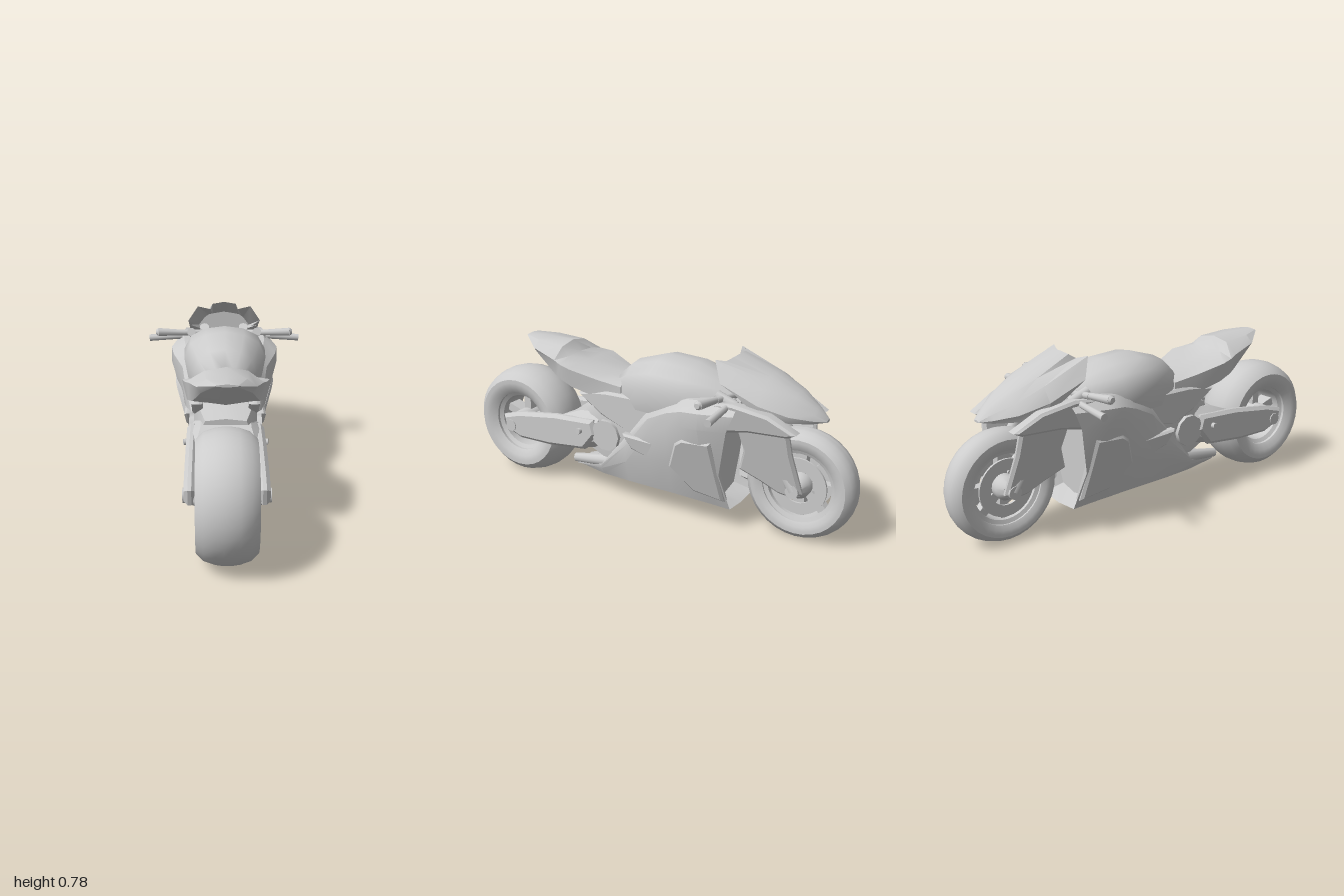
import * as THREE from 'three';
import { toCreasedNormals } from 'three/addons/utils/BufferGeometryUtils.js';

const grey = new THREE.MeshStandardMaterial({ color: 0xcccccc });
grey.name = 'light grey';

export function createModel() {
  const model = new THREE.Group();
  model.name = 'motorcycle';

  function add(name, geometry, parent = model) {
    const mesh = new THREE.Mesh(geometry, grey);
    mesh.name = name;
    parent.add(mesh);
    return mesh;
  }

  // Skin over mirrored cross-sections, ordered from +z to -z.
  // A section is [z, [[x, y, ownZ?], ...]], listed from top centre to bottom centre.
  function loft(name, sections, crease = 0.6) {
    const pos = [], idx = [];
    const rings = sections.map(([z, pts]) => {
      const half = pts.map(([x, y, own = z]) => [x, y, own]);
      const other = half.slice(1, -1).reverse().map(([x, y, w]) => [-x, y, w]);
      return [...half, ...other];
    });
    const n = rings[0].length;
    rings.forEach(r => r.forEach(p => pos.push(...p)));
    for (let i = 0; i < rings.length - 1; i++) {
      for (let j = 0; j < n; j++) {
        const a = i * n + j, b = i * n + (j + 1) % n;
        idx.push(a, b, a + n, b, b + n, a + n);
      }
    }
    const last = (rings.length - 1) * n;
    for (let j = 1; j < n - 1; j++) {
      idx.push(0, j + 1, j, last, last + j, last + j + 1);
    }
    const g = new THREE.BufferGeometry();
    g.setAttribute('position', new THREE.Float32BufferAttribute(pos, 3));
    g.setIndex(idx);
    return add(name, toCreasedNormals(g, crease));
  }

  // Mirrored pair of side plates from a [z, y] outline; lean pushes the top outwards.
  function sidePlates(name, outline, inner, outer, lean = 0, bevel = 0.012) {
    for (const s of [1, -1]) {
      const shape = new THREE.Shape(outline.map(p => new THREE.Vector2(...p)));
      const depth = outer - inner - 2 * bevel;
      const g = new THREE.ExtrudeGeometry(shape, {
        depth, bevelEnabled: true, bevelThickness: bevel, bevelSize: bevel, bevelOffset: -bevel, bevelSegments: 1
      });
      g.rotateY(-Math.PI / 2);
      g.translate(s * (inner + outer) / 2 + depth / 2, 0, 0);
      const p = g.attributes.position;
      for (let i = 0; i < p.count; i++) p.setX(i, p.getX(i) + s * lean * (p.getY(i) - 0.25));
      add(name, toCreasedNormals(g, 0.6));
    }
  }

  // Rod between two points
  function rod(name, from, to, r1, r2 = r1) {
    const a = new THREE.Vector3(...from), b = new THREE.Vector3(...to);
    const mesh = add(name, new THREE.CylinderGeometry(r2, r1, a.distanceTo(b), 10));
    mesh.position.copy(a).add(b).multiplyScalar(0.5);
    mesh.quaternion.setFromUnitVectors(new THREE.Vector3(0, 1, 0), b.sub(a).normalize());
  }
  const rodPair = (name, [x, y, z], [u, v, w], r1, r2) => {
    for (const s of [1, -1]) rod(name, [s * x, y, z], [s * u, v, w], r1, r2);
  };

  // Lathe turned so its axis runs along x; profile is [radius, x]
  function turned(name, profile, parent) {
    const g = new THREE.LatheGeometry(profile.map(p => new THREE.Vector2(...p)), 32);
    g.rotateZ(-Math.PI / 2);
    return add(name, toCreasedNormals(g, 0.6), parent);
  }

  // Wheels: rounded tyre, rim band, hub, spokes and brake discs
  function wheel(name, z, R, w, hole, hub, spokes, discs) {
    const group = new THREE.Group();
    group.name = name;
    group.position.set(0, R, z);
    model.add(group);
    const d = R - hole;
    const half = [[hole, w * 0.8], [hole + d * 0.25, w * 0.97], [hole + d * 0.45, w], [R - d * 0.4, w], [R - d * 0.16, w * 0.76], [R - d * 0.04, w * 0.4], [R, w * 0.12]];
    const outer = [...half.map(([r, x]) => [r, -x]), ...half.slice().reverse()];
    turned('tyre', [...outer, [hole, -w * 0.8]], group);
    const q = hole - 0.018;
    turned('rim', [[q, -w * 0.6], [hole + 0.01, -w * 0.75], [hole + 0.01, w * 0.75], [q, w * 0.6], [q, -w * 0.6]], group);
    turned('hub', [[0, -hub], [0.035, -hub], [0.055, -hub * 0.6], [0.055, hub * 0.6], [0.035, hub], [0, hub]], group);
    for (let i = 0; i < spokes; i++) {
      const g = new THREE.BoxGeometry(w * 0.6, hole, 0.04);
      g.translate(0, hole / 2, 0);
      add('spoke', g, group).rotation.x = i * Math.PI * 2 / spokes;
    }
    for (const s of discs) {
      const x = s * w * 0.68, r = hole * 0.78;
      turned('brakeDisc', [[r * 0.6, x - 0.005], [r, x - 0.005], [r, x + 0.005], [r * 0.6, x + 0.005], [r * 0.6, x - 0.005]], group);
    }
  }
  wheel('rearWheel', 0.73, 0.272, 0.122, 0.15, 0.14, 5, []);
  wheel('frontWheel', -0.75, 0.25, 0.07, 0.165, 0.09, 8, [1, -1]);

  // Lower fairing with hollow front
  loft('mainFairing', [
    [0.40, [[0, 0.125], [0.05, 0.125], [0.07, 0.12], [0.07, 0.115], [0.07, 0.11], [0.05, 0.103], [0, 0.10]]],
    [0.22, [[0, 0.18], [0.10, 0.18], [0.12, 0.17], [0.125, 0.16], [0.12, 0.14], [0.10, 0.105], [0, 0.098]]],
    [0.06, [[0, 0.38], [0.12, 0.37], [0.15, 0.34], [0.16, 0.30], [0.155, 0.22], [0.125, 0.112], [0, 0.095]]],
    [-0.08, [[0, 0.50], [0.16, 0.51], [0.188, 0.47], [0.19, 0.40], [0.178, 0.27], [0.13, 0.112], [0, 0.09]]],
    [-0.18, [[0, 0.56], [0.17, 0.56], [0.203, 0.52], [0.207, 0.45], [0.188, 0.29], [0.132, 0.112], [0, 0.088]]],
    [-0.28, [[0, 0.60], [0.19, 0.60], [0.25, 0.56], [0.25, 0.49], [0.205, 0.31], [0.135, 0.11], [0, 0.085]]],
    [-0.37, [[0, 0.60], [0.20, 0.61], [0.263, 0.57], [0.265, 0.50], [0.21, 0.31], [0.13, 0.105], [0, 0.085]]],
    [-0.465, [[0, 0.59], [0.19, 0.61, -0.52], [0.235, 0.575, -0.52], [0.235, 0.50, -0.49], [0.19, 0.28, -0.44], [0.12, 0.095], [0, 0.085]]],
    [-0.38, [[0, 0.55], [0.14, 0.55], [0.19, 0.54], [0.19, 0.48], [0.15, 0.28], [0.09, 0.13], [0, 0.11]]]
  ], 0.5);

  // Raised flank panels
  sidePlates('flankPanel', [[-0.24, 0.40], [-0.28, 0.43], [-0.42, 0.44], [-0.435, 0.28], [-0.45, 0.14], [-0.30, 0.16], [-0.19, 0.27]], 0.14, 0.192, 0.3);
  sidePlates('flankBlade', [[0.06, 0.37], [-0.20, 0.36], [-0.28, 0.24], [-0.22, 0.22], [0.02, 0.30]], 0.12, 0.172, 0.16);

  // Tank
  loft('tank', [
    [0.16, [[0, 0.605], [0.04, 0.60], [0.07, 0.58], [0.08, 0.54], [0.08, 0.48], [0, 0.47]]],
    [0.075, [[0, 0.68], [0.07, 0.67], [0.12, 0.63], [0.14, 0.57], [0.13, 0.48], [0, 0.46]]],
    [-0.07, [[0, 0.725], [0.09, 0.71], [0.16, 0.67], [0.19, 0.60], [0.17, 0.49], [0, 0.47]]],
    [-0.23, [[0, 0.712], [0.09, 0.70], [0.16, 0.665], [0.195, 0.60], [0.18, 0.52], [0, 0.50]]],
    [-0.36, [[0, 0.665], [0.07, 0.66], [0.11, 0.64], [0.14, 0.60], [0.15, 0.55], [0, 0.53]]],
    [-0.45, [[0, 0.62], [0.04, 0.62], [0.06, 0.61], [0.08, 0.59], [0.08, 0.55], [0, 0.55]]]
  ], 0.9);

  // Seat and raised tail with a slanting underside
  loft('seatTail', [
    [0.70, [[0, 0.722], [0.04, 0.718], [0.045, 0.715], [0.04, 0.712], [0, 0.71]]],
    [0.60, [[0, 0.72], [0.08, 0.712], [0.12, 0.68], [0.10, 0.655], [0, 0.66]]],
    [0.455, [[0, 0.716], [0.09, 0.70], [0.155, 0.65], [0.14, 0.57], [0, 0.565]]],
    [0.415, [[0, 0.665], [0.09, 0.66], [0.17, 0.64], [0.155, 0.56], [0, 0.54]]],
    [0.35, [[0, 0.635], [0.10, 0.64], [0.185, 0.63], [0.165, 0.54], [0, 0.515]]],
    [0.22, [[0, 0.605], [0.09, 0.605], [0.145, 0.59], [0.14, 0.50], [0, 0.49]]],
    [0.10, [[0, 0.59], [0.09, 0.59], [0.13, 0.57], [0.13, 0.48], [0, 0.47]]]
  ]);

  // Nose and windscreen, hollow behind, with a winged rear edge
  loft('noseFairing', [
    [-0.58, [[0, 0.70], [0.06, 0.69], [0.08, 0.685], [0.10, 0.67], [0.13, 0.63], [0.11, 0.60], [0, 0.59]]],
    [-0.45, [[0, 0.783, -0.44], [0.058, 0.775, -0.43], [0.068, 0.755, -0.40], [0.13, 0.774, -0.38], [0.18, 0.69, -0.43], [0.175, 0.65, -0.50], [0, 0.58, -0.54]]],
    [-0.60, [[0, 0.72], [0.05, 0.715], [0.08, 0.705], [0.13, 0.68], [0.175, 0.62], [0.17, 0.575], [0, 0.56]]],
    [-0.72, [[0, 0.66], [0.04, 0.655], [0.06, 0.648], [0.10, 0.62], [0.13, 0.58], [0.12, 0.55], [0, 0.545]]],
    [-0.80, [[0, 0.605], [0.02, 0.60], [0.03, 0.595], [0.05, 0.58], [0.07, 0.56], [0.06, 0.545], [0, 0.54]]],
    [-0.845, [[0, 0.555], [0.006, 0.554], [0.01, 0.553], [0.02, 0.55], [0.02, 0.548], [0.01, 0.545], [0, 0.544]]]
  ], 0.7);

  // Cheek panels beside the nose
  sidePlates('cheekPanel', [[-0.32, 0.60], [-0.50, 0.62], [-0.66, 0.595], [-0.78, 0.53], [-0.74, 0.51], [-0.56, 0.50], [-0.42, 0.47]], 0.07, 0.135, 0.22);

  // Fork covers, legs and axle
  sidePlates('forkCover', [[-0.50, 0.52], [-0.74, 0.52], [-0.75, 0.42], [-0.79, 0.24], [-0.75, 0.21], [-0.68, 0.22], [-0.60, 0.26], [-0.50, 0.30], [-0.53, 0.40]], 0.08, 0.115, 0.22);
  rodPair('forkLeg', [0.10, 0.25, -0.75], [0.10, 0.64, -0.50], 0.028, 0.024);
  rod('frontAxle', [-0.125, 0.25, -0.75], [0.125, 0.25, -0.75], 0.03);

  // Handlebars: grips behind, levers in front
  rodPair('grip', [0.20, 0.627, -0.43], [0.33, 0.636, -0.41], 0.014, 0.02);
  rodPair('gripEnd', [0.33, 0.636, -0.41], [0.342, 0.636, -0.41], 0.02, 0.012);
  rodPair('handlebar', [0.08, 0.62, -0.46], [0.21, 0.627, -0.43], 0.015);
  rodPair('lever', [0.12, 0.605, -0.47], [0.38, 0.588, -0.48], 0.013, 0.017);
  rodPair('leverClamp', [0.165, 0.60, -0.50], [0.165, 0.635, -0.41], 0.022);

  // Engine and subframe
  loft('engine', [
    [0.32, [[0, 0.44], [0.09, 0.43], [0.12, 0.36], [0.11, 0.25], [0, 0.23]]],
    [0.20, [[0, 0.50], [0.13, 0.48], [0.145, 0.37], [0.13, 0.21], [0, 0.18]]],
    [-0.05, [[0, 0.52], [0.14, 0.50], [0.15, 0.37], [0.13, 0.20], [0, 0.17]]]
  ]);
  rod('clutchCover', [-0.162, 0.33, 0.17], [0.162, 0.33, 0.17], 0.075);
  sidePlates('subframe', [[0.33, 0.51], [0.18, 0.54], [-0.08, 0.54], [-0.06, 0.40], [0.08, 0.37], [0.20, 0.42]], 0.10, 0.148);
  rodPair('footPeg', [0.12, 0.33, 0.30], [0.185, 0.33, 0.31], 0.014);

  // Swingarm: broad casting at the pivot, two arms and the rear axle
  loft('swingarmCasting', [
    [0.45, [[0, 0.36], [0.13, 0.37], [0.16, 0.34], [0.16, 0.24], [0.13, 0.22], [0, 0.23]]],
    [0.34, [[0, 0.41], [0.11, 0.41], [0.165, 0.37], [0.165, 0.25], [0.13, 0.225], [0, 0.22]]],
    [0.22, [[0, 0.42], [0.11, 0.42], [0.15, 0.38], [0.15, 0.29], [0.12, 0.25], [0, 0.24]]]
  ]);
  sidePlates('swingarm', [[0.785, 0.32], [0.77, 0.25], [0.68, 0.215], [0.50, 0.215], [0.29, 0.235], [0.22, 0.32], [0.24, 0.39], [0.46, 0.38], [0.68, 0.35]], 0.123, 0.17, 0, 0.016);
  rod('rearAxle', [-0.175, 0.275, 0.73], [0.175, 0.275, 0.73], 0.03);

  // Low exhaust outlets
  rodPair('exhaust', [0.10, 0.19, 0.12], [0.09, 0.15, 0.39], 0.035, 0.022);

  return model;
}
